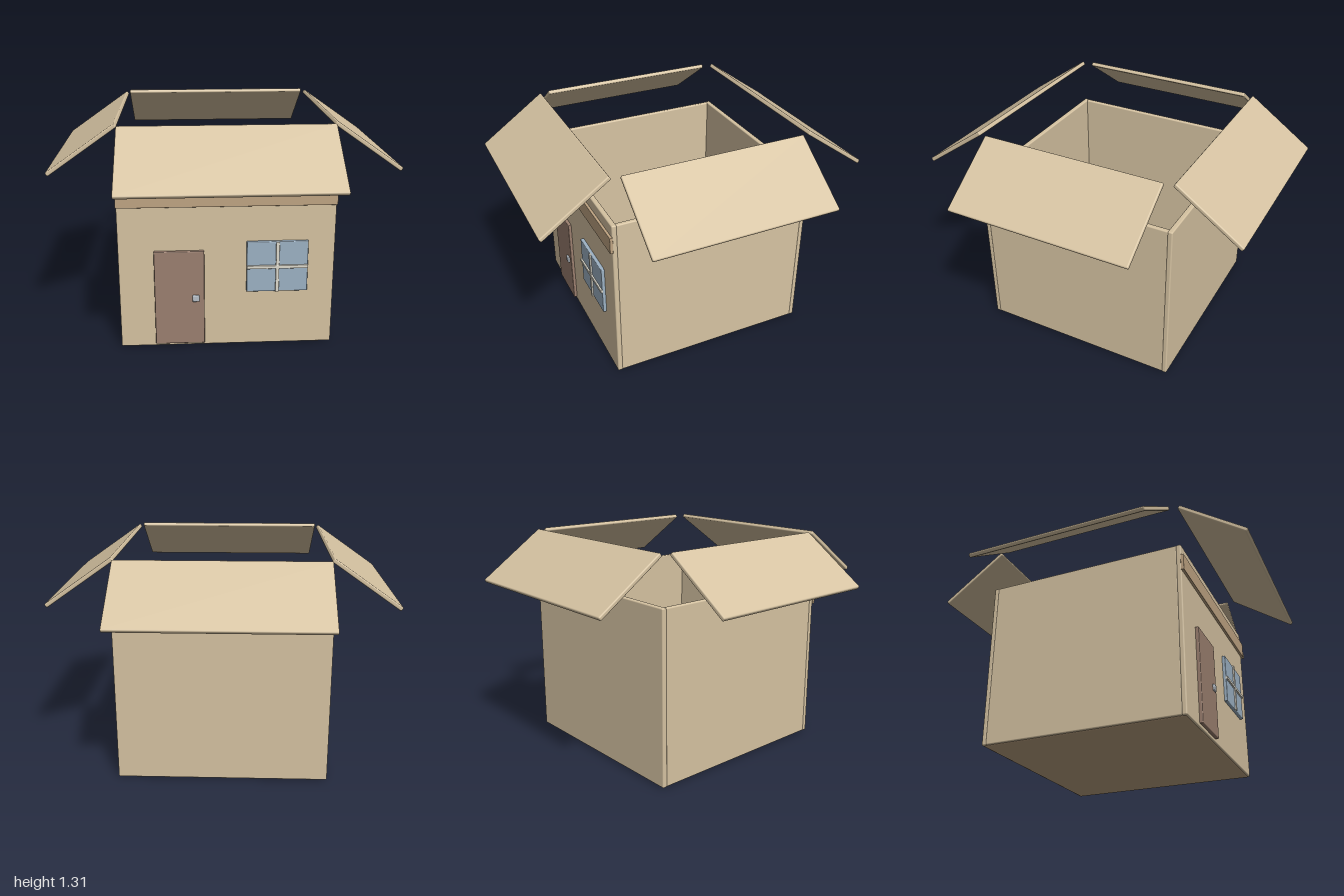
import * as THREE from 'three';
import { RoundedBoxGeometry } from 'three/addons/geometries/RoundedBoxGeometry.js';

const mat = (color) => new THREE.MeshStandardMaterial({ color });

export function createModel() {
  const group = new THREE.Group();
  const cardboard = mat(0xd6c3a2), tape = mat(0xc0a583), brown = mat(0x9c8070);
  const glass = mat(0x9db2c4), trim = mat(0xe0dccf), metal = mat(0xb8c0c8);

  // Softly bevelled box given by its size and centre
  function box(name, [w, h, d], [x, y, z], material, radius = 0.008, parent = group) {
    const mesh = new THREE.Mesh(new RoundedBoxGeometry(w, h, d, 2, radius), material);
    mesh.name = name;
    mesh.position.set(x, y, z);
    parent.add(mesh);
    return mesh;
  }

  // Open carton: floor and four walls
  box('floor', [1.21, 0.03, 1.21], [0, 0.015, 0], tape);
  for (const s of [1, -1]) {
    box(s > 0 ? 'frontWall' : 'backWall', [1.23, 1.025, 0.03], [0, 0.5175, s * 0.6], cardboard);
    box(s > 0 ? 'leftWall' : 'rightWall', [0.028, 1.023, 1.18], [s * 0.6, 0.5175, 0], cardboard);
  }

  // Four flaps sloping outward and down, floating above the rim
  ['frontFlap', 'leftFlap', 'backFlap', 'rightFlap'].forEach((name, i) => {
    const pivot = new THREE.Group();
    pivot.name = name;
    pivot.rotation.y = i * Math.PI / 2;
    group.add(pivot);
    const width = i % 2 ? 1.1 : 1.19;
    const panel = box(name + 'Panel', [width, 0.025, 0.477], [0, 1.17, 0.797], cardboard, 0.008, pivot);
    panel.rotation.x = THREE.MathUtils.degToRad(35);
  });

  // Tape band across the front
  box('tapeBand', [1.235, 0.1, 0.018], [0, 0.91, 0.621], tape, 0.002);

  // Door and its square knob
  box('door', [0.285, 0.575, 0.025], [-0.272, 0.3125, 0.622], brown, 0.005);
  box('doorKnob', [0.04, 0.04, 0.016], [-0.179, 0.314, 0.639], metal, 0.006);

  // Window pane with crossed bars
  box('windowPane', [0.35, 0.305, 0.025], [0.286, 0.4975, 0.622], glass, 0.005);
  box('windowBarVertical', [0.02, 0.305, 0.016], [0.286, 0.4975, 0.636], trim, 0.003);
  box('windowBarHorizontal', [0.35, 0.02, 0.016], [0.286, 0.4985, 0.6365], trim, 0.003);

  return group;
}
